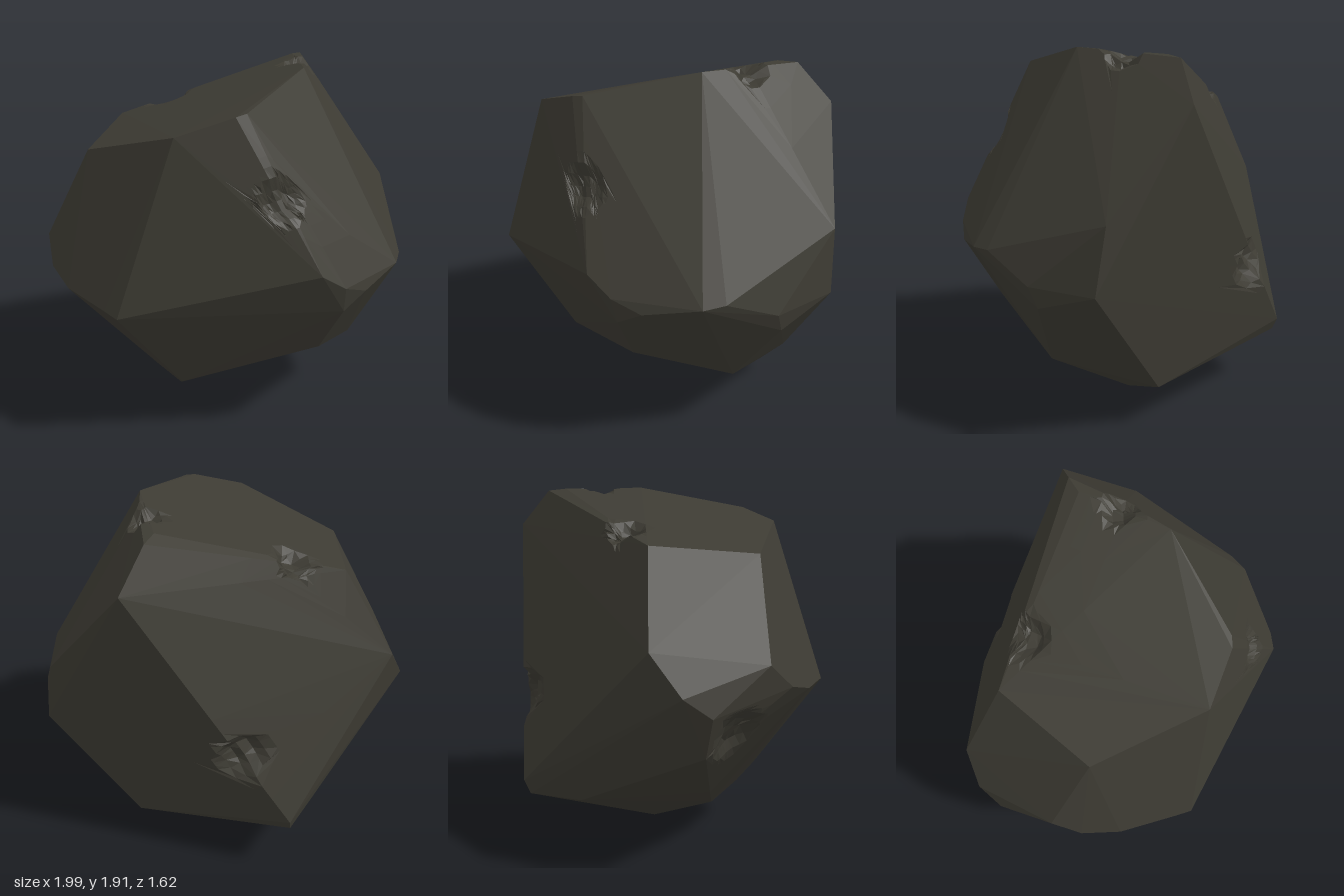
import * as THREE from 'three';
import { ConvexGeometry } from 'three/addons/geometries/ConvexGeometry.js';

// Corners of the boulder's large facets
const corners = [
  // sloping top
  [-0.68, 1.53, 0.3], [-0.6, 1.57, -0.26], [0.36, 1.89, -0.4], [0.41, 1.88, -0.49],
  [0.42, 1.9, -0.18], [0.405, 1.91, 0.08], [0.13, 1.8, 0.57], [0.08, 1.79, 0.6], [-0.2, 1.705, 0.65],
  // front rim
  [-0.48, 0.84, 0.81], [-0.55, 0.85, 0.75], [-0.78, 0.86, 0.54], [-0.9, 0.9, 0.37], [-0.95, 1.02, 0.22],
  [0.5, 1.07, 0.76], [0.62, 0.98, 0.7], [0.73, 0.92, 0.6], [0.62, 0.84, 0.67],
  // +x side
  [0.91, 0.97, 0.38], [0.94, 0.98, 0.27], [0.99, 0.86, 0], [0.97, 0.75, -0.04], [0.96, 0.86, -0.35],
  [0.91, 1.19, -0.38], [0.54, 1.69, -0.62],
  // -x side
  [-0.98, 0.9, -0.24], [-1, 0.8, -0.1], [-0.97, 0.92, 0.02], [-0.93, 0.6, -0.1], [-0.87, 1.1, -0.36],
  // back
  [-0.26, 0.38, -0.81], [-0.27, 0.31, -0.78], [-0.44, 0.3, -0.56],
  // lower slopes and base
  [0.52, 0.55, 0.54], [-0.2, 0.31, 0.55], [-0.22, 0.22, 0.43], [-0.37, 0.17, 0.2], [-0.56, 0.3, 0.1],
  [0.73, 0.36, 0.06], [0.52, 0.23, -0.45], [0.53, 0.2, -0.28], [0.15, 0.04, -0.03], [-0.02, 0, 0],
].map((p) => new THREE.Vector3(...p));

// Chips knocked out of the surface: centre, radius, depth
const chips = [
  { at: [0.3, 1.42, 0.67], r: 0.12, depth: 0.05 },
  { at: [-0.33, 1.66, -0.28], r: 0.11, depth: 0.07 },
  { at: [0.4, 1.88, -0.19], r: 0.1, depth: 0.06 },
  { at: [-0.02, 0.78, -0.75], r: 0.15, depth: 0.08 },
  { at: [-0.9, 0.68, 0.08], r: 0.16, depth: 0.06 },
].map((c) => ({ ...c, at: new THREE.Vector3(...c.at) }));

// An edge is split when it is long and runs through a chip
function needsSplit(a, b) {
  if (a.distanceTo(b) < 0.07) return false;
  const line = new THREE.Line3(a, b);
  const near = new THREE.Vector3();
  return chips.some((c) => line.closestPointToPoint(c.at, true, near).distanceTo(c.at) < c.r);
}

// Cut a triangle wherever its edges need splitting; neighbours split alike
function splitTriangle([a, b, c]) {
  const mid = (p, q) => p.clone().add(q).multiplyScalar(0.5);
  const v = [a, b, c];
  const cut = v.map((p, i) => needsSplit(p, v[(i + 1) % 3]));
  const count = cut.filter(Boolean).length;
  if (count === 0) return [v];
  if (count === 3) {
    const [ab, bc, ca] = [mid(a, b), mid(b, c), mid(c, a)];
    return [[a, ab, ca], [ab, b, bc], [ca, bc, c], [ab, bc, ca]];
  }
  // turn the triangle so that its first edge is cut and its last is not
  const s = [0, 1, 2].find((i) => cut[i] && !cut[(i + 2) % 3]);
  const [p, q, r] = [v[s], v[(s + 1) % 3], v[(s + 2) % 3]];
  const pq = mid(p, q);
  if (count === 1) return [[p, pq, r], [pq, q, r]];
  const qr = mid(q, r);
  return [[pq, q, qr], [p, pq, qr], [p, qr, r]];
}

// Push points near a chip in towards the middle of the rock
function dent(p) {
  const out = p.clone();
  const inward = new THREE.Vector3(0, 0.95, 0).sub(p).normalize();
  for (const c of chips) {
    const t = 1 - p.distanceTo(c.at) / c.r;
    if (t > 0) out.addScaledVector(inward, c.depth * Math.min(1, t * 1.8));
  }
  return out;
}

export function createModel() {
  const stone = new THREE.MeshStandardMaterial({ color: 0x3d3b33, flatShading: true });
  stone.name = 'dark stone';

  const hull = new ConvexGeometry(corners).getAttribute('position');
  let triangles = [];
  for (let i = 0; i < hull.count; i += 3) {
    triangles.push([0, 1, 2].map((k) => new THREE.Vector3().fromBufferAttribute(hull, i + k)));
  }
  for (let pass = 0; pass < 6; pass++) triangles = triangles.flatMap(splitTriangle);

  const geometry = new THREE.BufferGeometry().setFromPoints(triangles.flat().map(dent));
  geometry.computeVertexNormals();

  const boulder = new THREE.Mesh(geometry, stone);
  boulder.name = 'boulder';
  const group = new THREE.Group();
  group.name = 'rock';
  group.add(boulder);
  return group;
}
